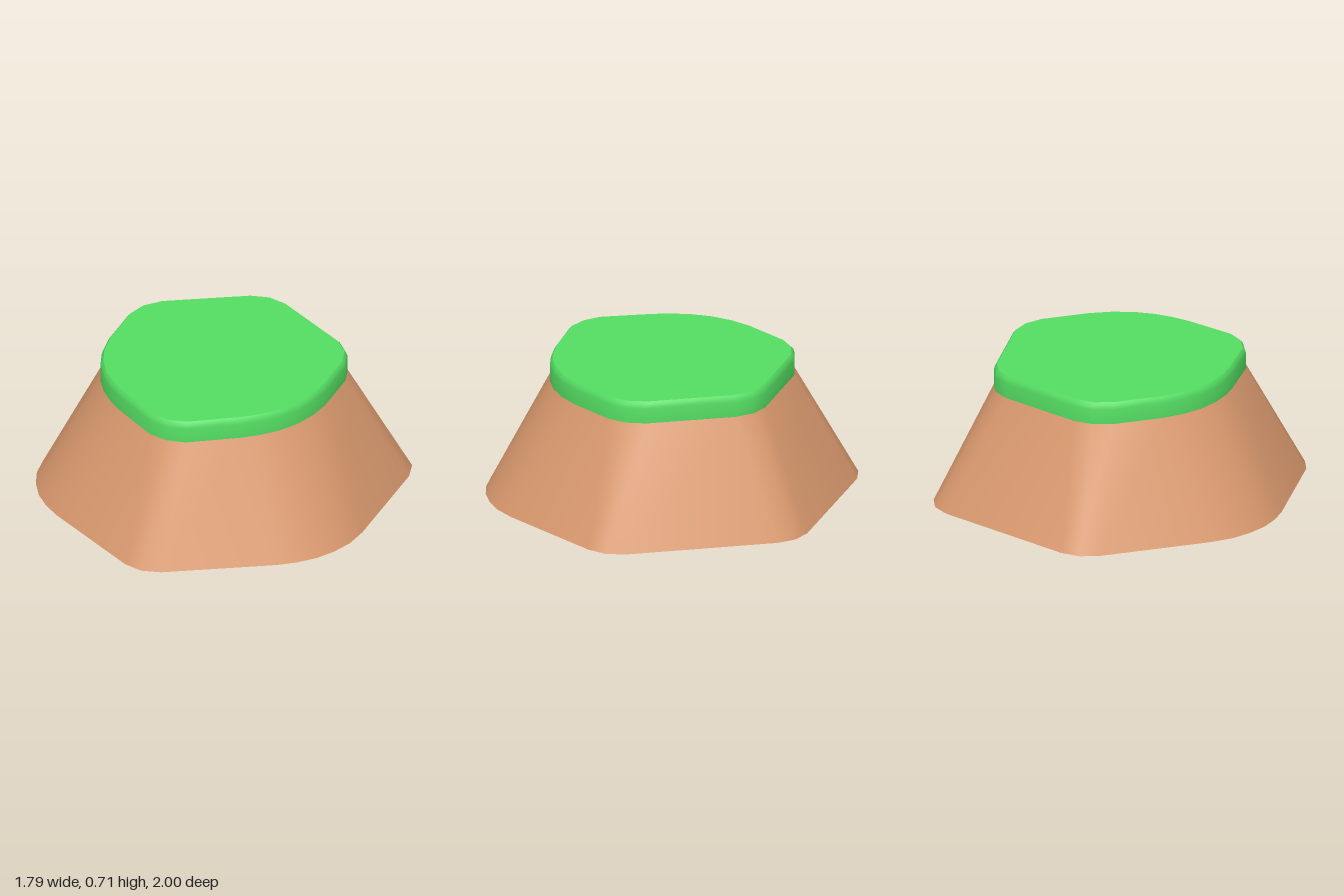
import * as THREE from 'three';
import { toCreasedNormals } from 'three/addons/utils/BufferGeometryUtils.js';

// Right half of each outline as [x, z], running from the back tip to the front tip
const BASE = [[0, -1], [0.1, -0.975], [0.79, -0.58], [0.865, -0.505], [0.893, -0.4], [0.893, 0.2],
  [0.877, 0.325], [0.837, 0.43], [0.78, 0.525], [0.705, 0.605], [0.62, 0.67], [0.1, 0.975], [0, 1]];
const TOP = [[0, -0.674], [0.1, -0.65], [0.505, -0.415], [0.578, -0.335], [0.609, -0.235], [0.609, 0.03],
  [0.59, 0.15], [0.55, 0.26], [0.49, 0.355], [0.42, 0.43], [0.34, 0.495], [0.1, 0.65], [0, 0.67]];

// Mirrors a half outline into a closed ring at height y
function ring(half, y, scale = 1) {
  const mirrored = half.slice(1, -1).reverse().map(([x, z]) => [-x, z]);
  return [...half, ...mirrored].map(([x, z]) => [x * scale, y, z * scale]);
}

// Skins a stack of rings and closes both ends
function loft(rings) {
  const n = rings[0].length;
  const positions = rings.flat(2);
  const index = [];
  for (let r = 0; r < rings.length - 1; r++) {
    for (let i = 0; i < n; i++) {
      const j = (i + 1) % n;
      const a = r * n + i, b = r * n + j;
      index.push(a, a + n, b, b, a + n, b + n);
    }
  }
  const bottom = rings.length * n, top = bottom + 1, last = (rings.length - 1) * n;
  positions.push(0, rings[0][0][1], 0, 0, rings[rings.length - 1][0][1], 0);
  for (let i = 0; i < n; i++) {
    const j = (i + 1) % n;
    index.push(bottom, i, j, top, last + j, last + i);
  }
  const geometry = new THREE.BufferGeometry();
  geometry.setAttribute('position', new THREE.Float32BufferAttribute(positions, 3));
  geometry.setIndex(index);
  return toCreasedNormals(geometry, 0.7);
}

export function createModel() {
  const dirt = new THREE.MeshStandardMaterial({ color: 0xd9996e });
  dirt.name = 'dirt brown';
  const grass = new THREE.MeshStandardMaterial({ color: 0x54dc62 });
  grass.name = 'grass green';

  const model = new THREE.Group();
  model.name = 'grassMound';

  // Sloping earth body
  const earth = new THREE.Mesh(loft([ring(BASE, 0), ring(TOP, 0.6)]), dirt);
  earth.name = 'earthBody';

  // Upright grass cap with a softened rim
  const cap = new THREE.Mesh(loft([
    ring(TOP, 0.6), ring(TOP, 0.68), ring(TOP, 0.703, 0.99), ring(TOP, 0.715, 0.974),
  ]), grass);
  cap.name = 'grassCap';

  model.add(earth, cap);
  return model;
}
